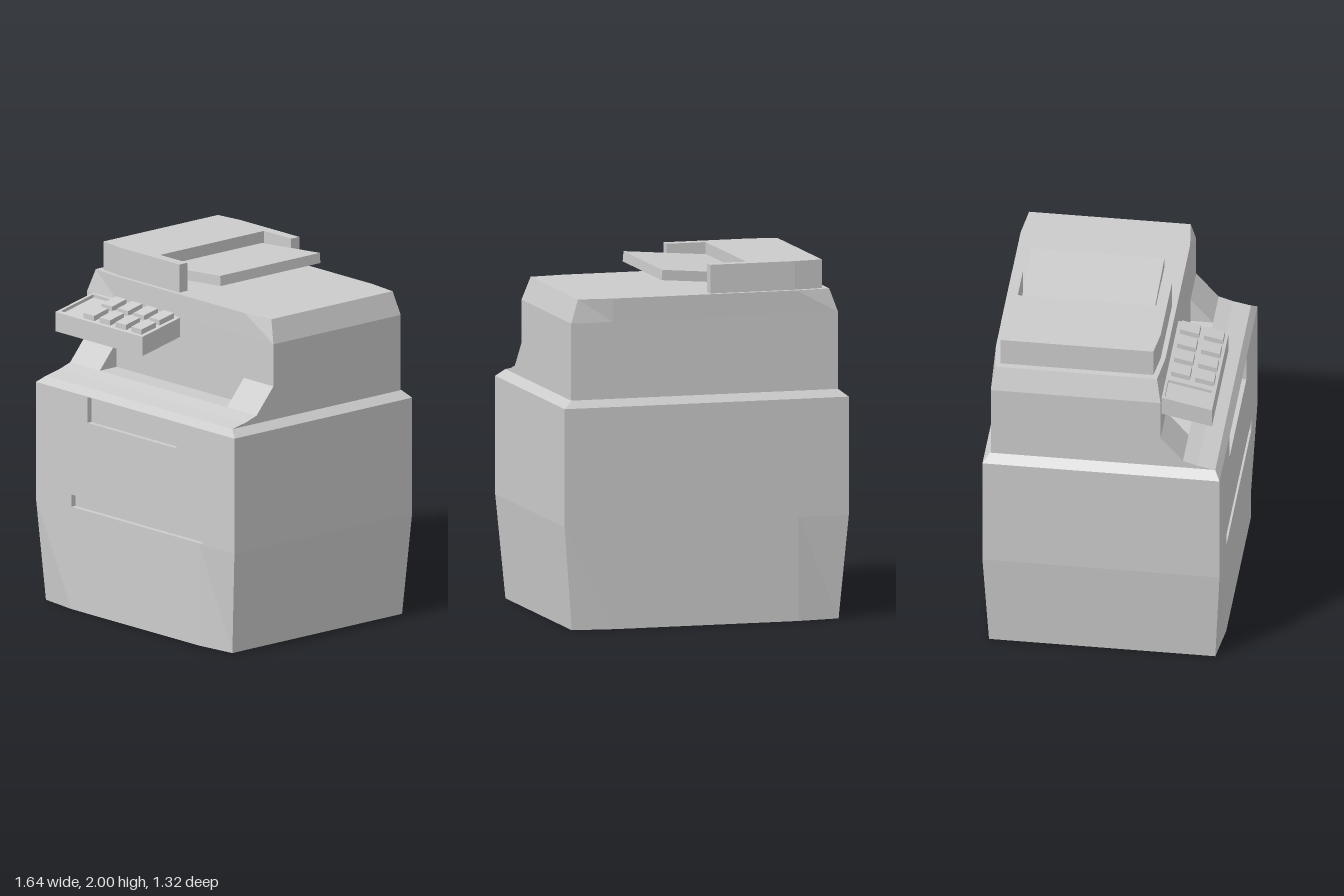
import * as THREE from 'three';

const grey = new THREE.MeshStandardMaterial({ color: 0xcccccc, flatShading: true });

function add(parent, name, geometry) {
  const mesh = new THREE.Mesh(geometry, grey);
  mesh.name = name;
  parent.add(mesh);
  return mesh;
}

const shapeOf = (pts) => new THREE.Shape(pts.map(([a, b]) => new THREE.Vector2(a, b)));
const rect = (x0, x1, y0, y1) => [[x0, y0], [x1, y0], [x1, y1], [x0, y1]];
const extrude = (shape, depth) => new THREE.ExtrudeGeometry(shape, { depth, bevelEnabled: false });

// Profile of (z, y) points swept along x
const sweepX = (pts, x0, x1) => extrude(shapeOf(pts), x1 - x0).rotateY(-Math.PI / 2).translate(x1, 0, 0);

// Plan of (x, z) points raised from y0 to y1
const sweepY = (shape, y0, y1) => extrude(shape, y1 - y0).rotateX(Math.PI / 2).translate(0, y1, 0);

const box = (x0, x1, y0, y1, z0, z1) =>
  new THREE.BoxGeometry(x1 - x0, y1 - y0, z1 - z0).translate((x0 + x1) / 2, (y0 + y1) / 2, (z0 + z1) / 2);

// Eight-point ring: front and back edges may bulge by "bulge" between x = -m and m
function ring(y, x, front, back, bulge = 0, m = 0.53) {
  const f = front + bulge, b = back - bulge;
  return [[x, y, front], [m, y, f], [-m, y, f], [-x, y, front],
    [-x, y, back], [-m, y, b], [m, y, b], [x, y, back]];
}

// Closed skin through a stack of rings
function loft(rings) {
  const pos = [];
  const tri = (...p) => p.forEach((v) => pos.push(...v));
  const n = rings[0].length;
  const top = rings[rings.length - 1], bottom = rings[0];
  for (let k = 0; k < rings.length - 1; k++) {
    const lo = rings[k], up = rings[k + 1];
    for (let i = 0; i < n; i++) {
      const j = (i + 1) % n;
      tri(lo[i], up[i], up[j]);
      tri(lo[i], up[j], lo[j]);
    }
  }
  for (let i = 1; i < n - 1; i++) {
    tri(bottom[0], bottom[i], bottom[i + 1]);
    tri(top[0], top[i + 1], top[i]);
  }
  const g = new THREE.BufferGeometry();
  g.setAttribute('position', new THREE.Float32BufferAttribute(pos, 3));
  g.computeVertexNormals();
  return g;
}

export function createModel() {
  const model = new THREE.Group();
  model.name = 'photocopier';

  // Cabinet: tapered foot, straight walls, chamfered rim
  add(model, 'cabinet', loft([
    ring(0, 0.77, 0.63, -0.63, 0.03),
    ring(0.58, 0.82, 0.66, -0.66),
    ring(0.58, 0.82, 0.63, -0.66),
    ring(1.24, 0.82, 0.63, -0.66),
    ring(1.24, 0.82, 0.66, -0.66),
    ring(1.28, 0.77, 0.63, -0.625),
  ]));

  // Front panel with the drawer pocket and the lower grip slot
  const front = shapeOf(rect(-0.82, 0.82, 0.58, 1.24));
  front.holes.push(
    shapeOf(rect(-0.395, 0.34, 1.09, 1.237)),
    shapeOf(rect(-0.525, 0.555, 0.585, 0.655)));
  add(model, 'frontPanel', extrude(front, 0.03).translate(0, 0, 0.63));

  // Upper body: curved apron at both sides, output recess in the middle
  const back = [[0.325, 1.71], [-0.62, 1.71], [-0.62, 1.28]];
  const apron = [[0.63, 1.28], [0.53, 1.3], [0.45, 1.325]];
  const sideProfile = [...apron, [0.325, 1.47], ...back];
  const recessProfile = [...apron, [0.325, 1.325], ...back];
  add(model, 'upperBodyRight', sweepX(sideProfile, -0.77, -0.525));
  add(model, 'outputRecess', sweepX(recessProfile, -0.525, 0.525));
  add(model, 'upperBodyLeft', sweepX(sideProfile, 0.525, 0.77));
  add(model, 'lid', loft([
    ring(1.71, 0.77, 0.325, -0.62),
    ring(1.84, 0.725, 0.3, -0.6, 0.022),
  ]));

  // Document feeder: U-shaped housing around a sloping tray
  add(model, 'feederHousing', sweepY(shapeOf([
    [-0.69, -0.575], [-0.53, -0.595], [-0.04, -0.595], [-0.04, -0.535], [-0.265, -0.535],
    [-0.265, 0.235], [-0.04, 0.235], [-0.04, 0.295], [-0.53, 0.295], [-0.69, 0.275],
  ]), 1.84, 2));
  add(model, 'feederTray', extrude(shapeOf([
    [-0.267, 1.877], [0.218, 1.915], [0.213, 1.972], [-0.267, 1.934],
  ]), 0.74).translate(0, 0, -0.52));

  // Control panel: built level, then sheared so that it falls towards the user
  const panel = new THREE.Group();
  panel.name = 'controlPanel';
  model.add(panel);
  const slope = 0.218;
  const shear = new THREE.Matrix4().set(
    1, 0, 0, 0,
    0, 1, -slope, slope * 0.605,
    0, 0, 1, 0,
    0, 0, 0, 1);
  const addSloped = (name, geometry) => add(panel, name, geometry.applyMatrix4(shear));

  addSloped('panelBody', box(-0.72, 0, 1.54, 1.632, 0.325, 0.605));
  const plate = shapeOf(rect(-0.72, 0, 0.325, 0.605));
  plate.holes.push(shapeOf(rect(-0.7, -0.545, 0.34, 0.583)));
  addSloped('panelTopWithScreen', sweepY(plate, 1.632, 1.65));
  for (const z of [0.348, 0.482]) {
    for (let i = 0; i < 4; i++) {
      const x = -0.505 + i * 0.131;
      addSloped('button', box(x, x + 0.086, 1.645, 1.68, z, z + 0.106));
    }
  }
  return model;
}
